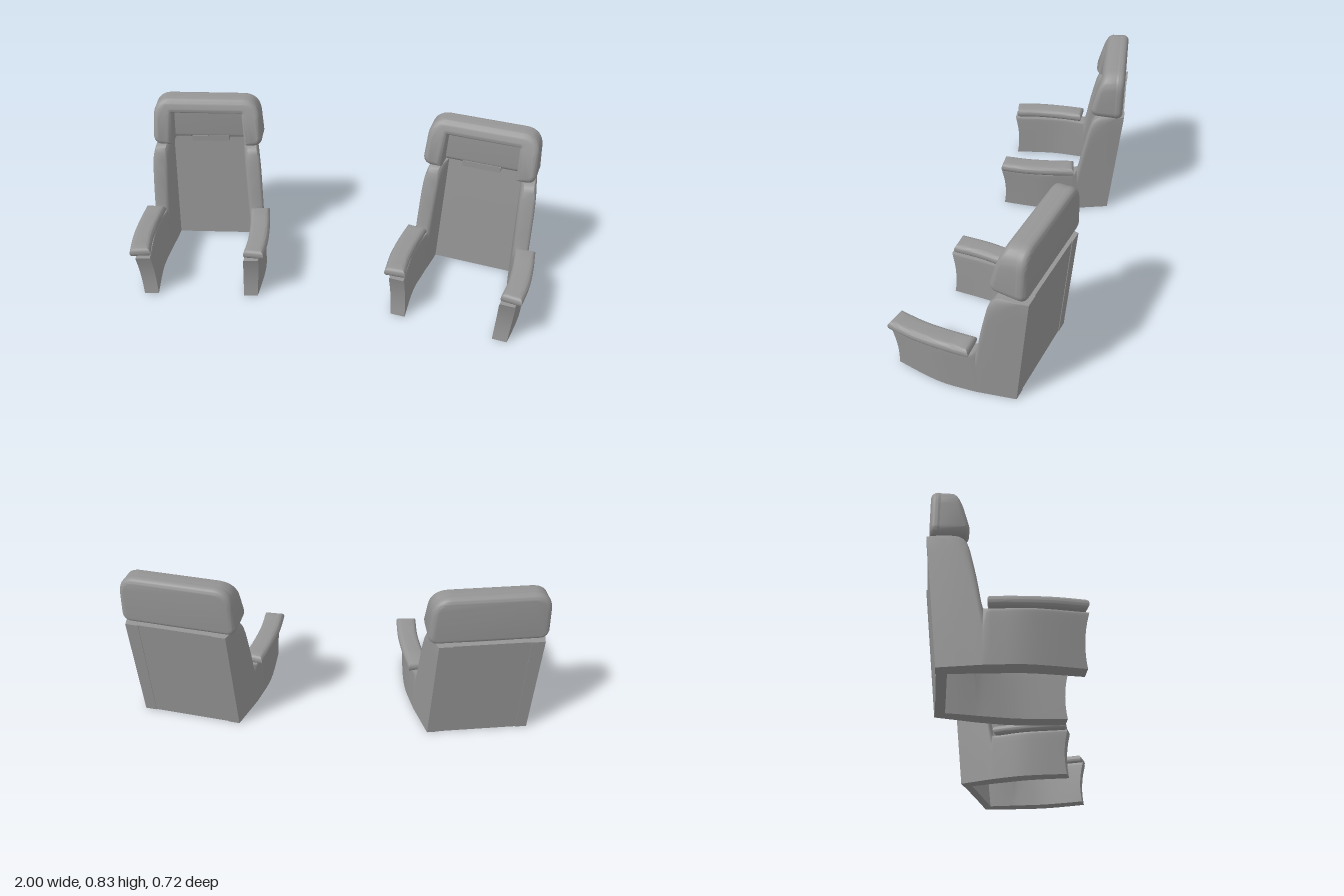
import * as THREE from 'three';
import { toCreasedNormals, mergeVertices } from 'three/addons/utils/BufferGeometryUtils.js';

const grey = new THREE.MeshStandardMaterial({ color: 0x959595 });
const H = 0.583; // height of the seat back

function add(parent, name, geometry, crease = 0.7) {
  const mesh = new THREE.Mesh(toCreasedNormals(geometry, crease), grey);
  mesh.name = name;
  parent.add(mesh);
  return mesh;
}

// Mirrors a geometry across x and restores the winding
function mirrored(geometry) {
  const g = geometry.index ? geometry.toNonIndexed() : geometry.clone();
  g.scale(-1, 1, 1);
  for (const attr of Object.values(g.attributes)) {
    const n = attr.itemSize, a = attr.array;
    for (let i = 0; i < attr.count; i += 3)
      for (let k = 0; k < n; k++) {
        const t = a[(i + 1) * n + k];
        a[(i + 1) * n + k] = a[(i + 2) * n + k];
        a[(i + 2) * n + k] = t;
      }
  }
  return g;
}

// Linear lookup in a list of [position, value]
function lookup(points, p) {
  let i = 1;
  while (i < points.length - 1 && p > points[i][0]) i++;
  const [a, b] = [points[i - 1], points[i]];
  const t = THREE.MathUtils.clamp((p - a[0]) / (b[0] - a[0]), 0, 1);
  return a[1] + (b[1] - a[1]) * t;
}

// Smooth plan curve through [depth, offset] points, sampled for lookup
function planCurve(points) {
  const c = new THREE.SplineCurve(points.map(p => new THREE.Vector2(...p)));
  return c.getPoints(40).map(v => [v.x, v.y]);
}

const crest = [[0, H], [0.11, H], [0.13, 0.579], [0.148, 0.568], [0.162, 0.548], [0.174, 0.51],
  [0.2, 0.39], [0.222, 0.275], [0.23, 0.248], [0.242, 0.236], [0.26, 0.235], [0.638, 0.235]];
const outerLow = planCurve([[0, 0.249], [0.14, 0.273], [0.28, 0.296], [0.42, 0.308], [0.638, 0.287]]);
const outerHigh = planCurve([[0, 0.243], [0.1, 0.267], [0.2, 0.288], [0.28, 0.302], [0.42, 0.319], [0.638, 0.303]]);
const innerLow = planCurve([[0, 0.193], [0.14, 0.203], [0.28, 0.218], [0.42, 0.23], [0.638, 0.216]]);
const innerHigh = planCurve([[0, 0.18], [0.14, 0.192], [0.28, 0.23], [0.42, 0.242], [0.638, 0.227]]);

// Wing and arm panel in one: upright sections swept from the rear to the front
function sideShell() {
  const depths = [0, 0.03, 0.06, 0.09];
  for (let i = 1; i < crest.length - 1; i++) {
    depths.push(crest[i][0]);
    if (i > 4 && i < 8) depths.push((crest[i][0] + crest[i + 1][0]) / 2);
  }
  for (let i = 1; i <= 14; i++) depths.push(0.26 + (0.378 * i) / 14);

  const drops = [0.09, 0.05, 0.025, 0.008, 0], insets = [0, 0.002, 0.006, 0.012, 0.018];
  const low = 8, rows = low + drops.length;
  const position = [], index = [];
  for (const f of depths) {
    const top = lookup(crest, f);
    // square at the rear, rounded along the wing's front edge, crisp on the arm
    const soft = f < 0.235 ? THREE.MathUtils.clamp((f - 0.04) / 0.1, 0.06, 1) : 0.2;
    const mixTop = f > 0.24 ? 0.235 : H;
    const wall = [];
    for (let j = 0; j < rows; j++) {
      const k = j - low;
      const y = k < 0 ? ((top - drops[0] * soft) * j) / low : top - drops[k] * soft;
      const inset = k < 0 ? 0 : insets[k] * soft;
      // leaning rear edge and hollow front edge
      let z = f;
      if (f < 0.23) z += 0.057 * (1 - y / H) * (1 - f / 0.23);
      if (f > 0.5) z += ((f - 0.5) / 0.138) * (-0.012 - 0.177 * y + 0.97 * y * y);
      const out = THREE.MathUtils.lerp(lookup(outerLow, f), lookup(outerHigh, f), y / mixTop);
      const inn = THREE.MathUtils.lerp(lookup(innerLow, f), lookup(innerHigh, f), y / mixTop);
      wall.push([out - inset, inn + inset, y, z]);
    }
    for (const w of wall) position.push(w[0], w[2], w[3]);
    for (const w of wall.reverse()) position.push(w[1], w[2], w[3]);
  }
  const ring = rows * 2, last = (depths.length - 1) * ring;
  const quad = (a, b, c, d) => index.push(a, b, c, a, c, d);
  for (let i = 0; i < depths.length - 1; i++)
    for (let j = 0; j < ring; j++) {
      const a = i * ring + j, b = i * ring + ((j + 1) % ring);
      quad(a, b, b + ring, a + ring);
    }
  for (let j = 0; j < rows - 1; j++) {
    const o = ring - 1 - j;
    quad(j, o, o - 1, j + 1);
    quad(last + j, last + j + 1, last + o - 1, last + o);
  }
  const g = new THREE.BufferGeometry();
  g.setAttribute('position', new THREE.Float32BufferAttribute(position, 3));
  g.setIndex(index);
  return g;
}

// Curved pill-shaped pad on top of an arm
function armPad() {
  const path = new THREE.SplineCurve([[0.276, 0.272], [0.286, 0.38], [0.289, 0.5], [0.28, 0.606]]
    .map(p => new THREE.Vector2(...p)));
  const edge = (side) => path.getPoints(12).map((p, i) => {
    const t = path.getTangent(i / 12);
    return new THREE.Vector2(p.x + t.y * side, -(p.y - t.x * side));
  });
  const shape = new THREE.Shape([...edge(0.026), ...edge(-0.026).reverse()]);
  const g = new THREE.ExtrudeGeometry(shape, {
    depth: 0.004, bevelThickness: 0.023, bevelSize: 0.024, bevelSegments: 6,
  });
  g.rotateX(-Math.PI / 2);
  g.translate(0, 0.257, 0);
  return g;
}

// Headrest outline; with a notch it becomes an arch open at the bottom
function headShape(half, y0, y1, notchHalf, notchTop) {
  const s = new THREE.Shape(), r = 0.07, q = 0.02;
  s.moveTo(half - q, y0);
  s.quadraticCurveTo(half, y0, half, y0 + q);
  s.lineTo(half - 0.006, y1 - r);
  s.quadraticCurveTo(half - 0.008, y1, half - r, y1);
  s.lineTo(-half + r, y1);
  s.quadraticCurveTo(-half + 0.008, y1, -half + 0.006, y1 - r);
  s.lineTo(-half, y0 + q);
  s.quadraticCurveTo(-half, y0, -half + q, y0);
  if (notchHalf) {
    const c = 0.03;
    s.lineTo(-notchHalf, y0);
    s.lineTo(-notchHalf + 0.008, notchTop - c);
    s.quadraticCurveTo(-notchHalf + 0.008, notchTop, -notchHalf + c, notchTop);
    s.lineTo(notchHalf - c, notchTop);
    s.quadraticCurveTo(notchHalf - 0.008, notchTop, notchHalf - 0.008, notchTop - c);
    s.lineTo(notchHalf, y0);
  }
  return s;
}

// Extrudes a headrest outline; its front curves back with height and its underside lifts forward
function headPart(shape, from, to, slope) {
  const g = new THREE.ExtrudeGeometry(shape, {
    depth: to - from - 0.06, bevelThickness: 0.03, bevelSize: 0.025, bevelSegments: 6, curveSegments: 10,
  });
  g.translate(0, 0, from + 0.03);
  const p = g.attributes.position;
  for (let i = 0; i < p.count; i++) {
    const y = p.getY(i), z = p.getZ(i);
    const t = Math.max(0, (y - 0.61) / 0.22);
    p.setZ(i, from + (z - from) * (1 - slope * t ** 1.5));
    if (y < 0.64) p.setY(i, y + 0.2 * Math.max(0, z - 0.1));
  }
  return g;
}

// Thin leaning panel between the wings
function backPanel() {
  const g = new THREE.BoxGeometry(2, 1, 1, 4, 6, 1);
  const p = g.attributes.position;
  for (let i = 0; i < p.count; i++) {
    const t = p.getY(i) + 0.5, front = p.getZ(i) > 0;
    p.setXYZ(i, p.getX(i) * (0.22 - 0.01 * t), t * H, 0.057 * (1 - t) + (front ? 0.045 : 0.003));
  }
  return g;
}

function makeChair(name, side) {
  const chair = new THREE.Group();
  chair.name = name;
  const shell = sideShell(), pad = mergeVertices(armPad());
  add(chair, 'leftSidePanel', shell);
  add(chair, 'rightSidePanel', mirrored(shell));
  add(chair, 'leftArmPad', pad);
  add(chair, 'rightArmPad', mirrored(pad));
  add(chair, 'backPanel', backPanel());
  // the headrest sits slightly towards the middle of the pair
  const headrest = new THREE.Group();
  headrest.name = 'headrest';
  headrest.position.x = -side * 0.014;
  add(headrest, 'headrestBack', headPart(headShape(0.251, 0.611, 0.807), 0.01, 0.072, 0));
  add(headrest, 'headrestBolster', headPart(headShape(0.25, 0.61, 0.806, 0.207, 0.785), 0.016, 0.172, 0.4), 1);
  const tab = new THREE.BoxGeometry(0.19, 0.03, 0.045);
  tab.translate(0, 0.587, 0.052);
  add(headrest, 'headrestTab', tab);
  chair.add(headrest);
  return chair;
}

export function createModel() {
  const model = new THREE.Group();
  model.name = 'chairPair';
  // two chairs turned slightly towards each other
  for (const side of [1, -1]) {
    const chair = makeChair(side > 0 ? 'leftChair' : 'rightChair', side);
    chair.position.set(side * 0.721, 0, -0.32);
    chair.rotation.y = -side * 0.159;
    model.add(chair);
  }
  return model;
}
